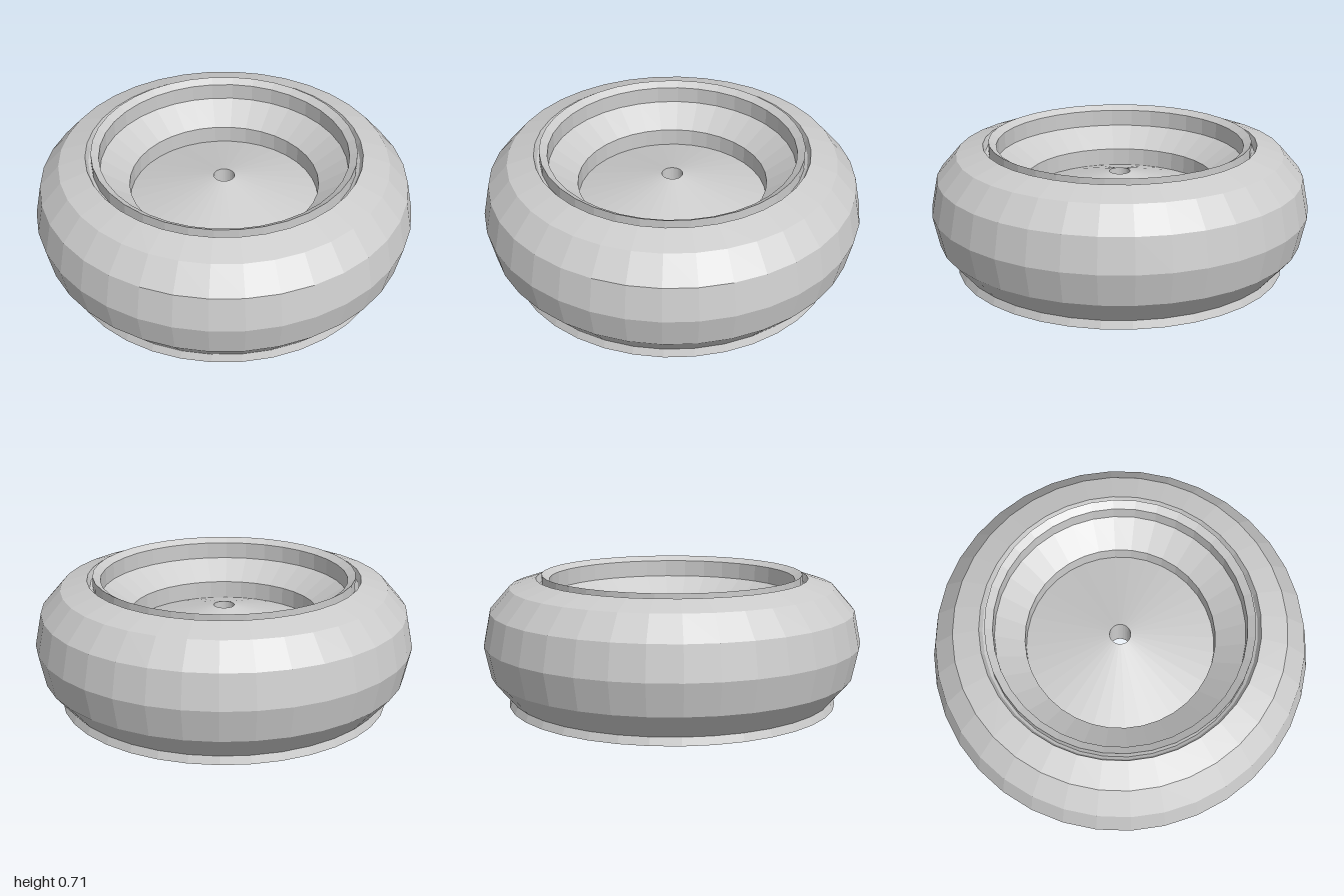
import * as THREE from 'three';

const SEGMENTS = 36;
const material = new THREE.MeshStandardMaterial({ color: 0xcccccc, flatShading: true });

// Revolve a closed (radius, height) outline, listed counterclockwise, about the y axis
function revolve(name, outline) {
  const points = [...outline, outline[0]].map(([r, y]) => new THREE.Vector2(r, y));
  const mesh = new THREE.Mesh(new THREE.LatheGeometry(points, SEGMENTS), material);
  mesh.name = name;
  return mesh;
}

export function createModel() {
  const wheel = new THREE.Group();
  wheel.name = 'wheel';

  // Tyre: faceted bulge, flared foot at the underside, bevelled bead at the top
  wheel.add(revolve('tyre', [
    [0.688, 0.025],
    [0.875, 0.025],
    [0.86, 0.065],
    [0.965, 0.19],
    [1.0, 0.357],
    [0.965, 0.53],
    [0.86, 0.65],
    [0.72, 0.695],
    [0.705, 0.66],
    [0.688, 0.65],
  ]));

  // Rim: outer barrel, stepped dish on top, tapered hollow below, bored hub
  wheel.add(revolve('rim', [
    [0.645, 0],
    [0.69, 0],
    [0.69, 0.715],   // barrel
    [0.65, 0.69],    // bevelled lip
    [0.65, 0.6],     // upper step
    [0.5, 0.5],      // sloped shoulder
    [0.5, 0.405],    // lower step
    [0.055, 0.53],   // domed disc
    [0.055, 0.315],  // axle hole
    [0.1, 0.28],     // countersink
    [0.53, 0.28],    // underside of the disc
  ]));

  return wheel;
}
